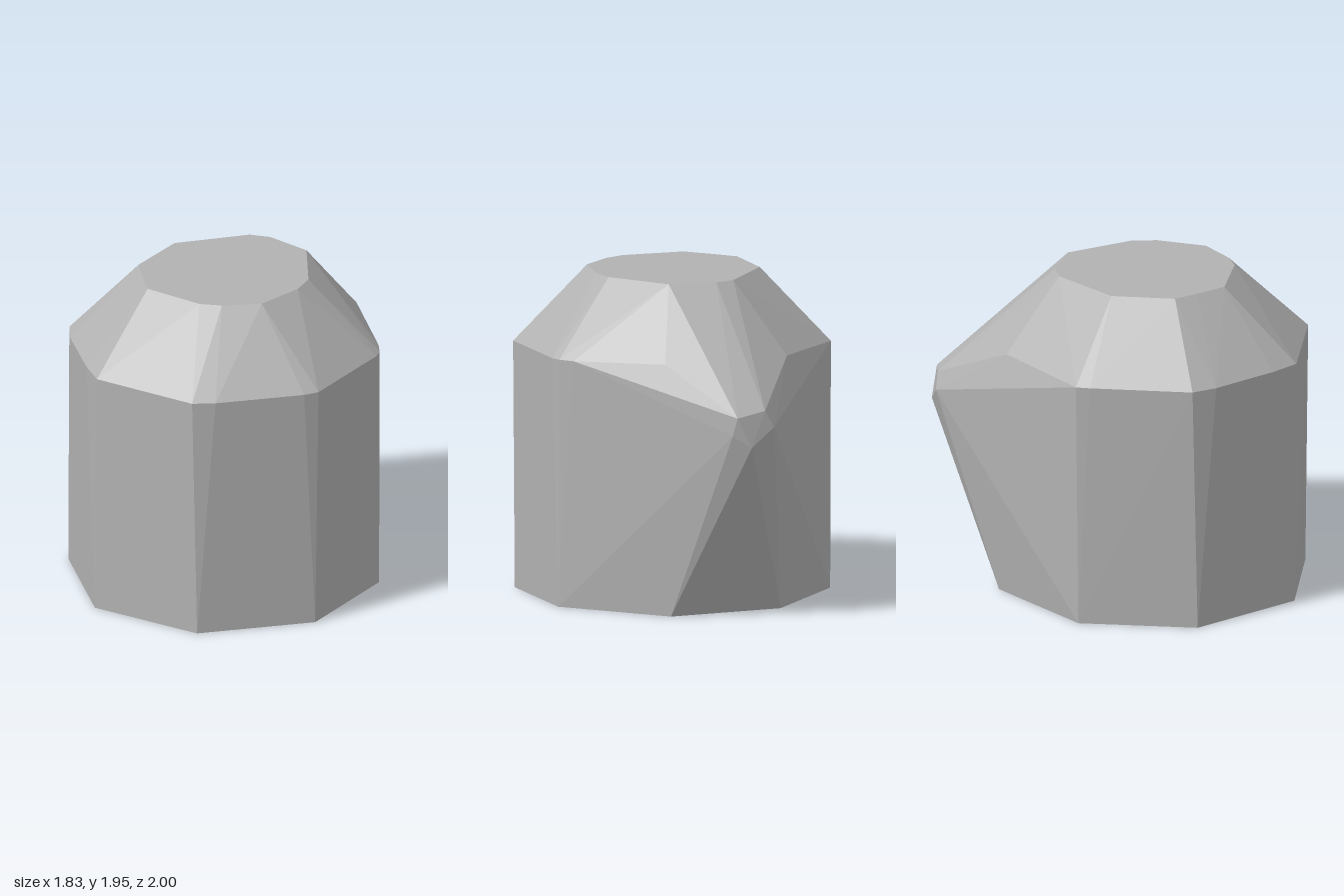
import * as THREE from 'three';
import { ConvexGeometry } from 'three/addons/geometries/ConvexGeometry.js';

export function createModel() {
  const group = new THREE.Group();
  group.name = 'facetedBlock';
  const grey = new THREE.MeshStandardMaterial({ color: 0xb2b2b2, flatShading: true });
  grey.name = 'stone grey';

  const ring = (y, pairs) => pairs.map(([x, z]) => new THREE.Vector3(x, y, z));

  // eight-sided base
  const base = ring(0, [
    [0.89, 0.37], [0.86, -0.38], [0.3, -0.82], [-0.45, -0.75],
    [-0.91, -0.2], [-0.84, 0.54], [-0.28, 0.99], [0.44, 0.91],
  ]);
  // shoulder with small chamfers at its corners
  const shoulder = ring(1.5, [
    [-0.44, -0.76], [-0.5, -0.7], [-0.9, -0.23], [-0.915, -0.07], [-0.87, 0.37],
    [-0.83, 0.56], [-0.31, 0.99], [-0.17, 1.0], [0.37, 0.94], [0.46, 0.91],
    [0.87, 0.42], [0.895, 0.36], [0.9, 0.26],
  ]);
  // high points at the root of the beak
  const root = ring(1.52, [[0.84, -0.33], [0.22, -0.82]]);
  // flat cap
  const cap = ring(1.945, [
    [-0.5, -0.09], [-0.5, 0.07], [-0.49, 0.27], [-0.21, 0.53], [-0.08, 0.57],
    [0.16, 0.57], [0.4, 0.38], [0.48, 0.25], [0.52, -0.18], [0.33, -0.4],
    [0.21, -0.45], [-0.15, -0.37], [-0.25, -0.38],
  ]);
  // blunt beak at the back corner
  const beak = [
    [0.71, 1.18, -1.0], [0.75, 1.28, -0.96], [0.86, 1.26, -0.89],
    [0.91, 1.25, -0.86], [0.915, 1.14, -0.83], [0.86, 1.07, -0.93],
  ].map((p) => new THREE.Vector3(...p));

  const body = new THREE.Mesh(
    new ConvexGeometry([...base, ...shoulder, ...root, ...cap, ...beak]), grey);
  body.name = 'body';
  group.add(body);
  return group;
}
